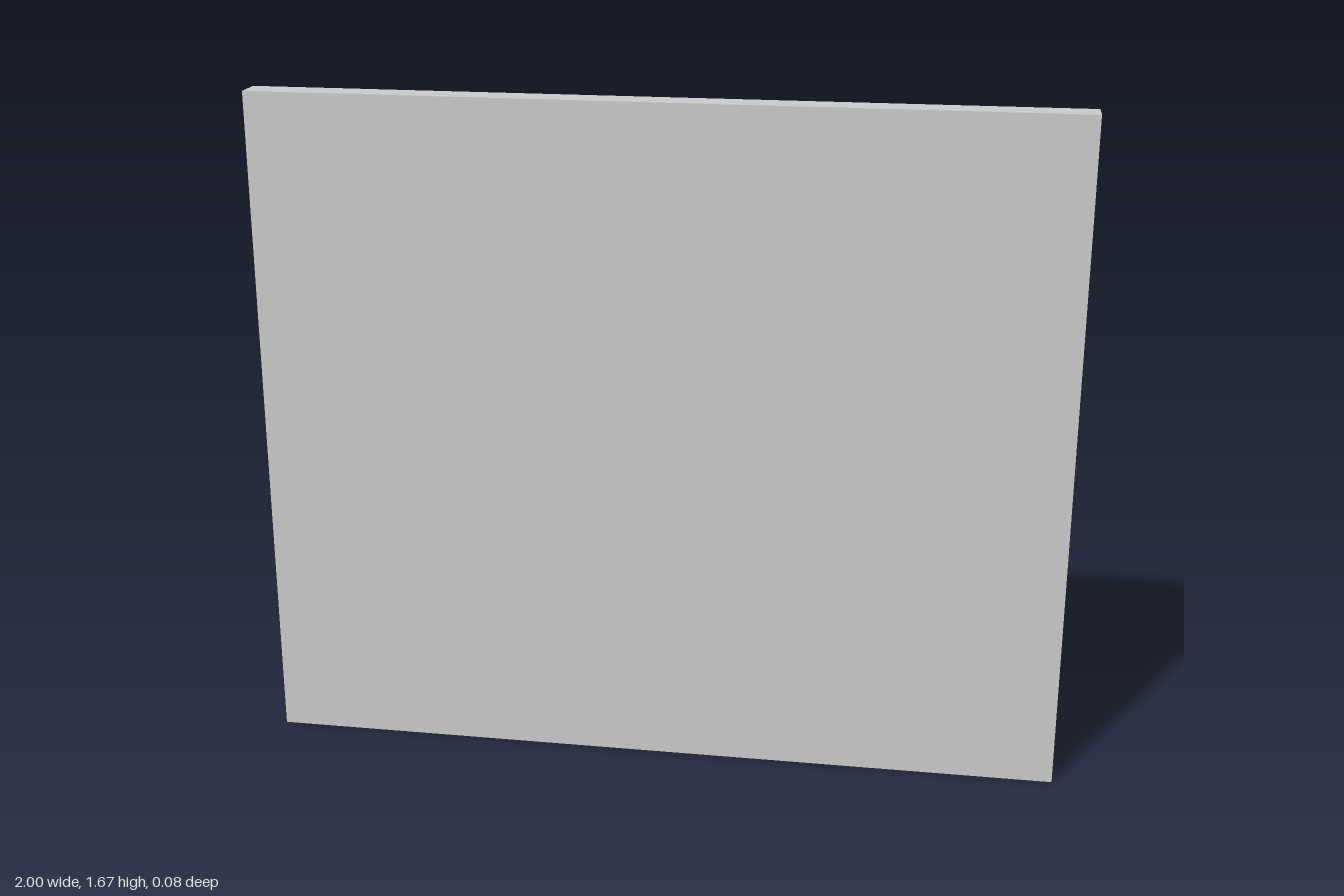
import * as THREE from 'three';

const W = 2, H = 1.675, D = 0.075;   // overall size
const RECESS = 0.026;                // depth of the back openings
const BORDER = 0.06, MULLION = 0.075;

// Rectangle outline from its lower-left corner
function rect(path, x, y, w, h) {
  path.moveTo(x, y);
  path.lineTo(x + w, y);
  path.lineTo(x + w, y + h);
  path.lineTo(x, y + h);
  path.closePath();
  return path;
}

export function createModel() {
  const group = new THREE.Group();
  group.name = 'framedPanel';
  const material = new THREE.MeshStandardMaterial({ color: 0xcccccc });

  // Plain front sheet
  const sheetDepth = D - RECESS;
  const sheet = new THREE.Mesh(new THREE.BoxGeometry(W, H, sheetDepth), material);
  sheet.name = 'frontSheet';
  sheet.position.set(0, H / 2, D / 2 - sheetDepth / 2);
  group.add(sheet);

  // Back frame with two tall openings either side of a centre mullion
  const outline = rect(new THREE.Shape(), -W / 2, 0, W, H);
  const openW = (W - 2 * BORDER - MULLION) / 2;
  for (const x of [-W / 2 + BORDER, MULLION / 2]) {
    outline.holes.push(rect(new THREE.Path(), x, BORDER, openW, H - 2 * BORDER));
  }
  const frame = new THREE.Mesh(
    new THREE.ExtrudeGeometry(outline, { depth: RECESS, bevelEnabled: false }), material);
  frame.name = 'backFrame';
  frame.position.z = -D / 2;
  group.add(frame);

  return group;
}
